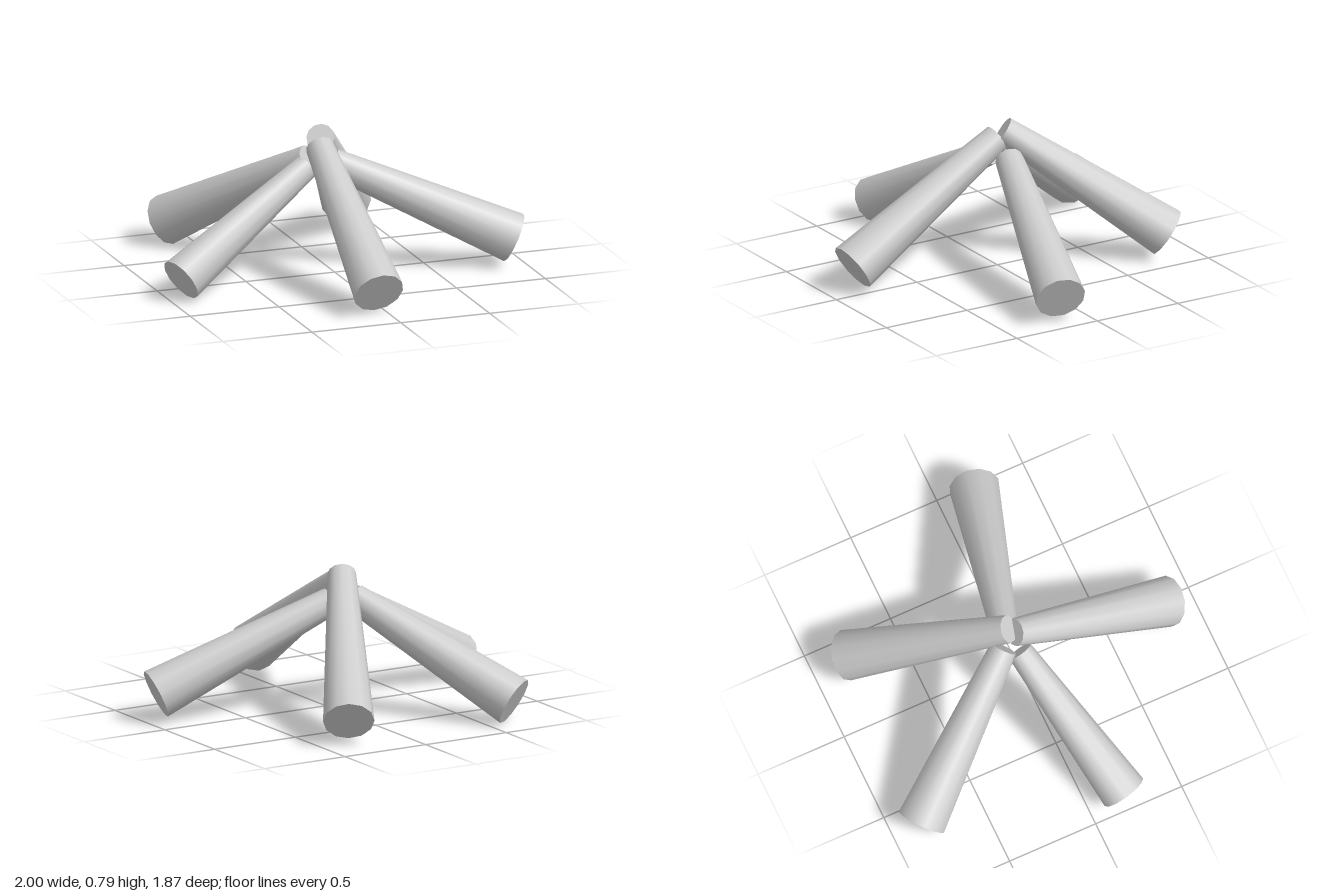
import * as THREE from 'three';

const material = new THREE.MeshStandardMaterial({ color: 0xcccccc });
const UP = new THREE.Vector3(0, 1, 0);

// Tapered, closed leg running from its foot centre to its top centre
function leg(name, foot, top, footRadius, topRadius) {
  const a = new THREE.Vector3(...foot);
  const b = new THREE.Vector3(...top);
  const axis = b.clone().sub(a);
  const mesh = new THREE.Mesh(
    new THREE.CylinderGeometry(topRadius, footRadius, axis.length(), 12),
    material
  );
  mesh.name = name;
  mesh.position.copy(a).add(b).multiplyScalar(0.5);
  mesh.quaternion.setFromUnitVectors(UP, axis.normalize());
  return mesh;
}

export function createModel() {
  const model = new THREE.Group();
  model.name = 'splayedLegs';

  // Five legs leaning together: name, foot, top, foot radius, top radius
  const legs = [
    ['frontLeg', [-0.07, 0.135, 0.855], [-0.07, 0.69, -0.042], 0.136, 0.075],
    ['leftLeg', [0.937, 0.15, 0.19], [0.01, 0.59, -0.067], 0.135, 0.075],
    ['rightLeg', [-0.937, 0.112, 0.193], [-0.145, 0.585, -0.045], 0.125, 0.069],
    ['backLeftLeg', [0.367, 0.142, -0.822], [-0.055, 0.732, -0.07], 0.136, 0.075],
    ['backRightLeg', [-0.643, 0.122, -0.847], [-0.1, 0.605, -0.12], 0.135, 0.075],
  ];
  for (const spec of legs) model.add(leg(...spec));
  return model;
}
